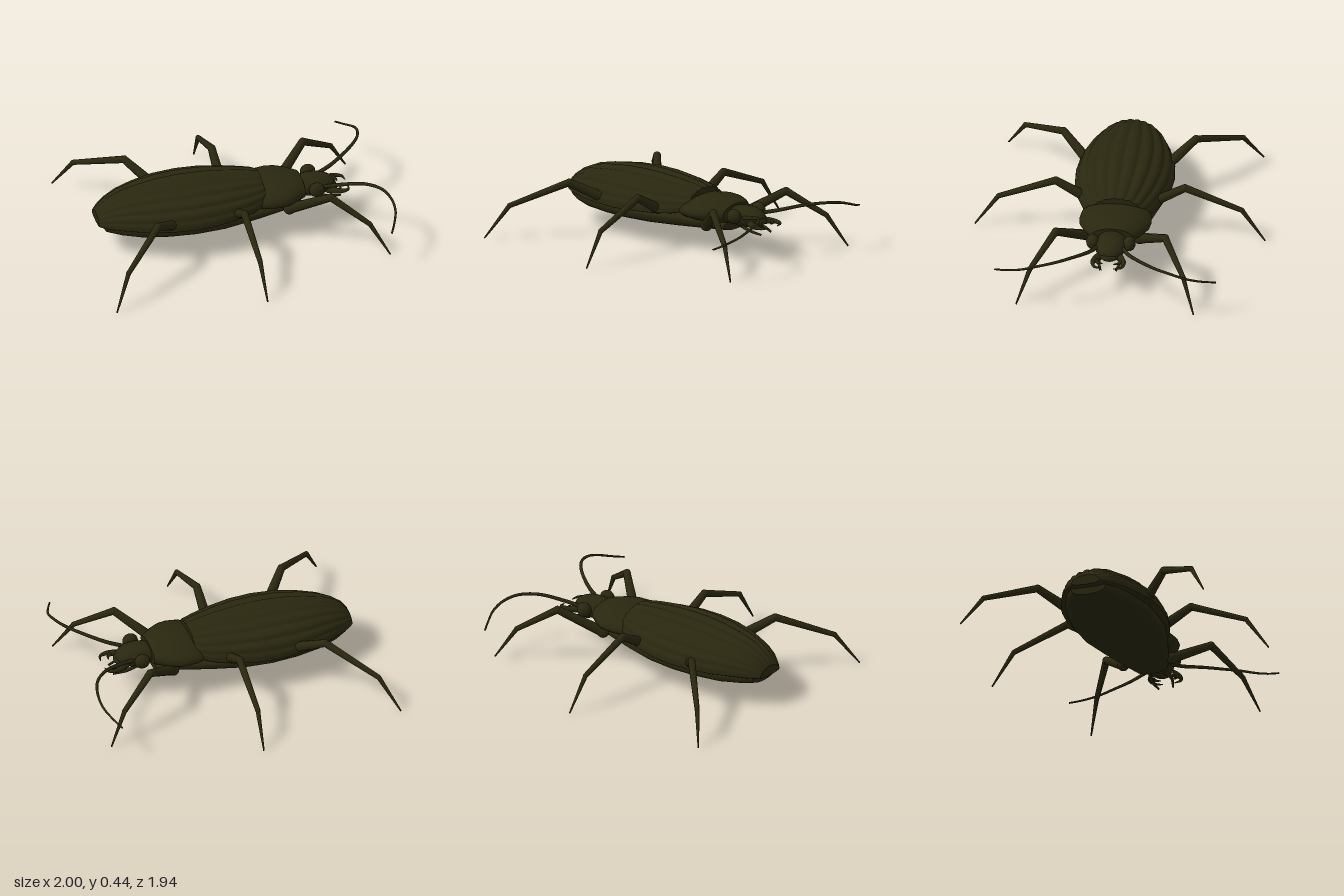
import * as THREE from 'three';

const shell = new THREE.MeshStandardMaterial({ color: 0x29270f });
shell.name = 'dark olive shell';
const V = (x, y, z) => new THREE.Vector3(x, y, z);

// Lofts cross-sections along x; each row is [x, halfWidth, yTop, yEdge, yBottom].
function loft(rows, { sides = 40, ribs = 0, depth = 0, topPower = 1, bottomPower = 1 } = {}) {
  const pos = [], idx = [];
  const ring = ([x, w, top, edge, bottom]) => {
    const start = pos.length / 3;
    for (let j = 0; j < sides; j++) {
      const t = (j / sides) * Math.PI * 2, s = Math.sin(t), up = s >= 0;
      const rib = up ? 1 - depth + depth * Math.abs(Math.sin(ribs * t)) : 1;
      const y = up ? edge + (top - edge) * s ** topPower * rib
        : edge - (edge - bottom) * (-s) ** bottomPower;
      pos.push(x, y, w * Math.cos(t) * (1 - (1 - rib) * Math.abs(s)));
    }
    return start;
  };
  const starts = rows.map(ring);
  for (let i = 0; i < rows.length - 1; i++) {
    for (let j = 0; j < sides; j++) {
      const k = (j + 1) % sides, a = starts[i], b = starts[i + 1];
      idx.push(a + j, b + j, a + k, b + j, b + k, a + k);
    }
  }
  // End caps with their own vertices, so the rims stay sharp
  [rows[0], rows[rows.length - 1]].forEach((row, end) => {
    const r = ring(row), c = pos.length / 3;
    pos.push(row[0], (row[2] + row[4]) / 2, 0);
    for (let j = 0; j < sides; j++) {
      const k = (j + 1) % sides;
      idx.push(c, r + (end ? k : j), r + (end ? j : k));
    }
  });
  const g = new THREE.BufferGeometry();
  g.setAttribute('position', new THREE.Float32BufferAttribute(pos, 3));
  g.setIndex(idx);
  g.computeVertexNormals();
  return g;
}

// Smooth tube whose radius runs from r0 to r1
function taperedTube(points, r0, r1, steps = 24, sides = 8) {
  const curve = new THREE.CatmullRomCurve3(points);
  const g = new THREE.TubeGeometry(curve, steps, 1, sides);
  const p = g.attributes.position, v = V(0, 0, 0);
  for (let i = 0; i < p.count; i++) {
    const u = Math.floor(i / (sides + 1)) / steps, c = curve.getPointAt(u);
    v.fromBufferAttribute(p, i).sub(c).multiplyScalar(r0 + (r1 - r0) * u).add(c);
    p.setXYZ(i, v.x, v.y, v.z);
  }
  return g;
}

// Straight tapered segment from a to b
function segment(a, b, r0, r1) {
  const d = b.clone().sub(a);
  const g = new THREE.CylinderGeometry(r1, r0, d.length(), 10);
  g.applyQuaternion(new THREE.Quaternion().setFromUnitVectors(V(0, 1, 0), d.normalize()));
  const m = a.clone().add(b).multiplyScalar(0.5);
  return g.translate(m.x, m.y, m.z);
}

function ball(c, rx, ry = rx, rz = rx) {
  return new THREE.SphereGeometry(1, 24, 16).scale(rx, ry, rz).translate(c.x, c.y, c.z);
}

export function createModel() {
  const model = new THREE.Group();
  model.name = 'beetle';
  const add = (name, geometry, parent = model) => {
    const mesh = new THREE.Mesh(geometry, shell);
    mesh.name = name;
    parent.add(mesh);
  };

  // Ribbed wing cases
  add('wingCases', loft([
    [-0.92, 0.10, 0.27, 0.215, 0.20], [-0.89, 0.13, 0.31, 0.215, 0.20],
    [-0.84, 0.17, 0.345, 0.22, 0.20], [-0.75, 0.22, 0.385, 0.225, 0.205],
    [-0.63, 0.272, 0.412, 0.225, 0.205], [-0.48, 0.315, 0.432, 0.23, 0.21],
    [-0.32, 0.33, 0.442, 0.23, 0.21], [-0.17, 0.32, 0.44, 0.235, 0.215],
    [-0.02, 0.285, 0.43, 0.24, 0.22], [0.1, 0.242, 0.417, 0.25, 0.235],
    [0.17, 0.21, 0.405, 0.265, 0.25], [0.2, 0.18, 0.398, 0.275, 0.26],
  ], { sides: 160, ribs: 10, depth: 0.07 }));

  // Underside of abdomen and thorax
  add('underbody', loft([
    [-0.87, 0.12, 0.23, 0.20, 0.15], [-0.78, 0.18, 0.25, 0.20, 0.135],
    [-0.65, 0.235, 0.25, 0.20, 0.12], [-0.48, 0.275, 0.26, 0.205, 0.117],
    [-0.3, 0.29, 0.26, 0.205, 0.117], [-0.1, 0.28, 0.26, 0.21, 0.122],
    [0.1, 0.23, 0.27, 0.21, 0.131], [0.28, 0.175, 0.26, 0.205, 0.143],
    [0.46, 0.11, 0.22, 0.195, 0.155],
  ], { bottomPower: 0.75 }));

  // Neck shield
  add('neckShield', loft([
    [0.16, 0.215, 0.34, 0.27, 0.21], [0.2, 0.232, 0.355, 0.272, 0.205],
    [0.28, 0.24, 0.365, 0.275, 0.2], [0.34, 0.232, 0.364, 0.275, 0.2],
    [0.4, 0.2, 0.358, 0.275, 0.2], [0.45, 0.16, 0.348, 0.275, 0.205],
    [0.48, 0.14, 0.338, 0.275, 0.21],
  ]));

  // Head and upper lip
  add('head', ball(V(0.56, 0.265, 0), 0.15, 0.07, 0.105));
  add('upperLip', ball(V(0.66, 0.25, 0), 0.06, 0.035, 0.065));

  for (const s of [1, -1]) {
    const P = (x, y, z) => V(x, y, z * s);
    const side = s > 0 ? 'Near' : 'Far';
    add('eye' + side, ball(P(0.56, 0.285, 0.122), 0.052, 0.05, 0.042));

    // Hooked jaw with an inner tooth
    const jaw = new THREE.Group();
    jaw.name = 'jaw' + side;
    model.add(jaw);
    add('jawHook', taperedTube([P(0.65, 0.24, 0.06), P(0.72, 0.238, 0.1),
      P(0.78, 0.235, 0.09), P(0.795, 0.23, 0.04)], 0.028, 0.003), jaw);
    add('jawTooth', taperedTube([P(0.71, 0.238, 0.09), P(0.735, 0.235, 0.065),
      P(0.74, 0.232, 0.035)], 0.016, 0.003, 10), jaw);
    add('feeler' + side, taperedTube([P(0.56, 0.21, 0.05), P(0.65, 0.195, 0.07),
      P(0.74, 0.175, 0.05)], 0.014, 0.007, 10));

    // Swept antenna
    add('antenna' + side, taperedTube([P(0.6, 0.275, 0.08), P(0.72, 0.305, 0.13),
      P(0.86, 0.345, 0.225), P(0.95, 0.355, 0.335), P(0.985, 0.34, 0.45),
      P(0.985, 0.31, 0.55), P(0.95, 0.275, 0.65), P(0.91, 0.25, 0.735)], 0.014, 0.006, 48));

    // Legs as hip, knee, ankle and foot points
    const legs = {
      frontLeg: [P(0.36, 0.2, 0.17), P(0.59, 0.365, 0.365), P(0.82, 0.21, 0.51), P(0.94, 0.003, 0.59)],
      middleLeg: [P(-0.01, 0.24, 0.2), P(-0.015, 0.37, 0.43), P(-0.008, 0.225, 0.81), P(0.003, 0.003, 0.965)],
      hindLeg: [P(-0.45, 0.25, 0.26), P(-0.61, 0.37, 0.44), P(-0.885, 0.22, 0.725), P(-0.997, 0.003, 0.848)],
    };
    for (const [name, [hip, knee, ankle, foot]] of Object.entries(legs)) {
      const leg = new THREE.Group();
      leg.name = name + side;
      model.add(leg);
      add('hip', ball(hip, 0.04), leg);
      add('thigh', segment(hip, knee, 0.036, 0.026), leg);
      add('knee', ball(knee, 0.026), leg);
      add('shin', segment(knee, ankle, 0.025, 0.017), leg);
      add('ankle', ball(ankle, 0.017), leg);
      add('foot', segment(ankle, foot, 0.016, 0.005), leg);
    }
  }
  return model;
}
